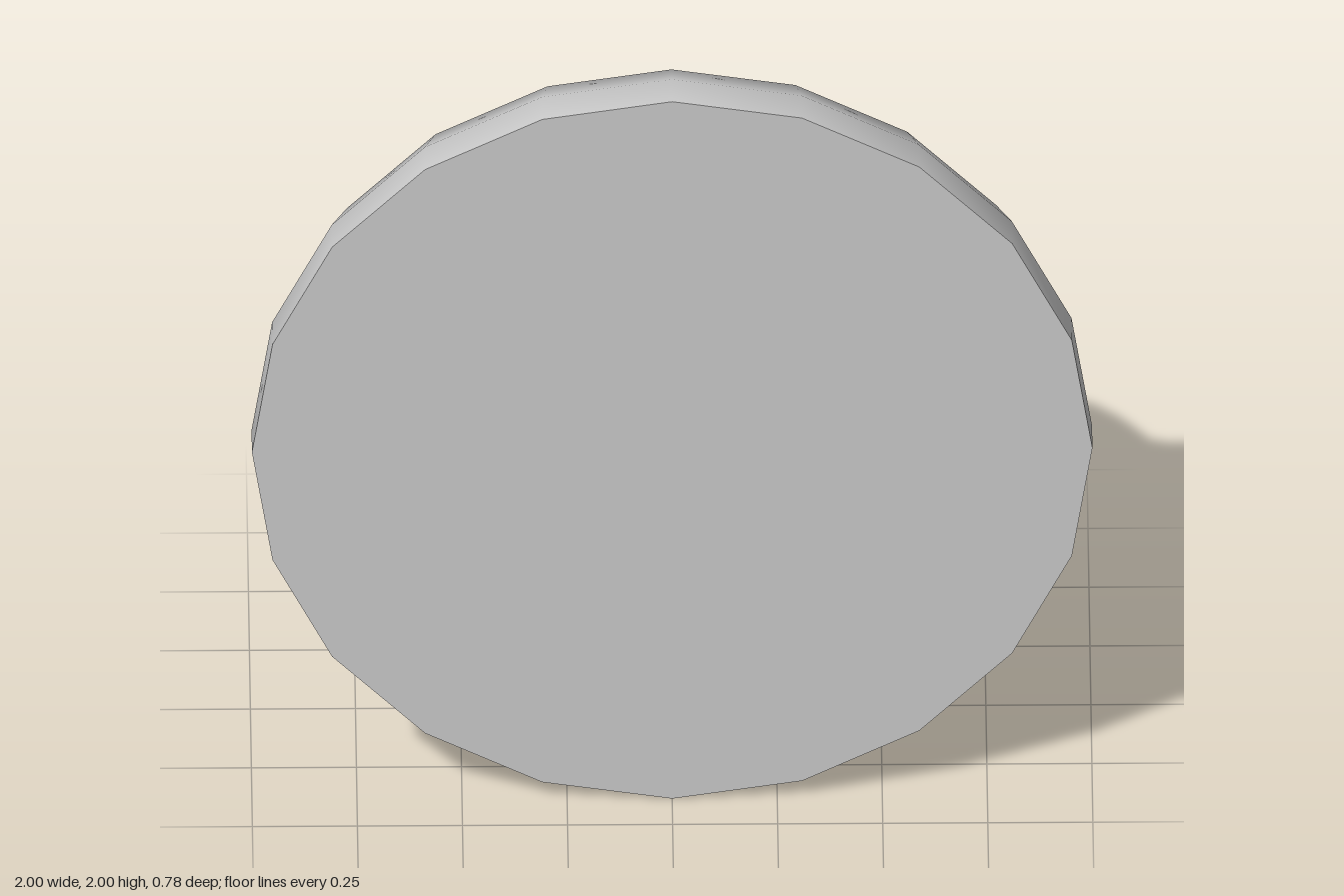
import * as THREE from 'three';

const SIDES = 20;
const material = new THREE.MeshStandardMaterial({ color: 0xcccccc });

// Turned surface along the z axis; each profile point is [radius, z], front to back.
function turned(name, profile) {
  const points = profile.map(([r, z]) => new THREE.Vector2(r, -z));
  const geometry = new THREE.LatheGeometry(points, SIDES);
  geometry.rotateX(-Math.PI / 2);
  const mesh = new THREE.Mesh(geometry, material);
  mesh.name = name;
  return mesh;
}

// Quarter-round profile from the side (radius r + size) to the back.
function quarterRound(r, z, size, steps) {
  return Array.from({ length: steps + 1 }, (_, i) => {
    const a = (i / steps) * Math.PI / 2;
    return [r + size * Math.cos(a), z - size * Math.sin(a)];
  });
}

export function createModel() {
  const model = new THREE.Group();
  model.name = 'roundButton';

  // Wide base: flat front, rounded rim, bevelled recess; separate pieces keep creases sharp
  const base = new THREE.Group();
  base.name = 'base';
  base.add(
    turned('frontFace', [[0, 0.39], [1, 0.39]]),
    turned('roundedRim', [[1, 0.39], ...quarterRound(0.845, 0.295, 0.155, 2)]),
    turned('recessBevel', [[0.845, 0.14], [0.76, 0.185]]),
    turned('recessWall', [[0.76, 0.185], [0.745, 0.24]]),
    turned('recessFloor', [[0.745, 0.24], [0.6, 0.24]])
  );

  // Domed knob rising from the recess, with a flat end
  const knob = turned('knob', [
    [0.633, 0.24],
    ...quarterRound(0.315, -0.075, 0.318, 4),
    [0, -0.393]
  ]);

  model.add(base, knob);
  model.position.y = 1;

  const root = new THREE.Group();
  root.name = 'model';
  root.add(model);
  return root;
}
